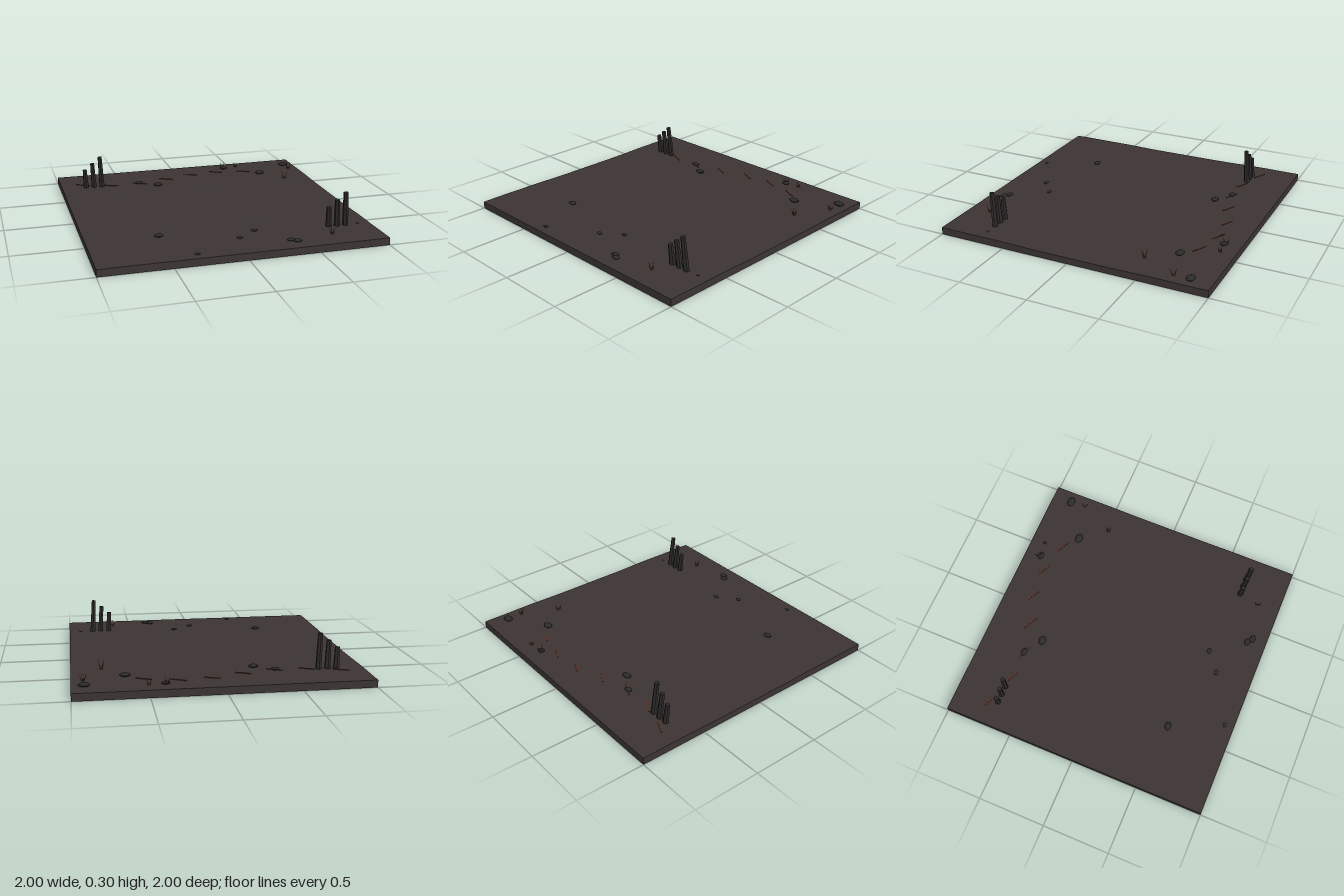
import * as THREE from 'three';

const paint = (name, color, extra = {}) => {
  const m = new THREE.MeshStandardMaterial({ color, ...extra });
  m.name = name;
  return m;
};

export function createModel() {
  const ash = paint('ash ground', 0x3b3433);
  const basalt = paint('basalt', 0x2c2a29, { flatShading: true });
  const stone = paint('dark stone', 0x2b2b29, { flatShading: true });
  const rust = paint('rust crack', 0x5a2a1a);
  const blade = paint('rust grass', 0x7a3a1e, { side: THREE.DoubleSide });
  const dry = paint('dry grass', 0x80583a, { side: THREE.DoubleSide });

  const group = new THREE.Group();
  const add = (name, geo, mat, x, y, z, parent = group) => {
    const m = new THREE.Mesh(geo, mat);
    m.name = name;
    m.position.set(x, y, z);
    parent.add(m);
    return m;
  };

  // Ground height: a flat lane through the middle with gentle swells either side
  const heightAt = (x, z) => {
    const bank = THREE.MathUtils.smoothstep(Math.abs(z), 0.25, 0.6);
    return 0.047 + bank * (0.005 + 0.002 * Math.sin(x * 9 + z * 4) * Math.cos(z * 8));
  };

  // Ground slab
  const slab = new THREE.BoxGeometry(2, 0.047, 2, 32, 1, 32);
  slab.translate(0, 0.0235, 0);
  const p = slab.attributes.position;
  for (let i = 0; i < p.count; i++) {
    if (p.getY(i) > 0.02) p.setY(i, heightAt(p.getX(i), p.getZ(i)));
  }
  slab.computeVertexNormals();
  add('groundSlab', slab, ash, 0, 0, 0);

  // Two clusters of leaning six-sided basalt columns
  for (const [cx, cz] of [[-0.75, -0.676], [0.75, 0.676]]) {
    const cluster = new THREE.Group();
    cluster.name = 'columnCluster';
    group.add(cluster);
    [0.2, 0.25, 0.3].forEach((top, i) => {
      const h = top - 0.035;
      const geo = new THREE.CylinderGeometry(0.017, 0.022, h, 6);
      geo.translate(0, h / 2, 0);
      const col = add('basaltColumn', geo, basalt, cx + (i - 1) * 0.063 + 0.002, 0.035, cz, cluster);
      col.rotation.set(0.08, 0, 0.055);
    });
  }

  // Flattened stones: x, z, radius
  const stones = [
    [0.39, -0.875, 0.031], [0.915, -0.847, 0.042], [0.64, -0.66, 0.04],
    [-0.385, -0.66, 0.031], [-0.25, -0.572, 0.037], [-0.5, 0.55, 0.033],
    [0.02, 0.73, 0.023], [0.16, 0.622, 0.023], [0.337, 0.863, 0.03],
    [0.374, 0.892, 0.031], [-0.33, 0.93, 0.019], [0.91, 0.672, 0.012],
  ];
  const profile = [[0, 0], [0.6, 0], [1, 0.3], [0.85, 0.48], [0.45, 0.64], [0, 0.68]]
    .map(([r, y]) => new THREE.Vector2(r, y));
  const stoneGeo = new THREE.LatheGeometry(profile, 10);
  for (const [x, z, r] of stones) {
    add('flatStone', stoneGeo, stone, x, heightAt(x, z) - 0.002, z).scale.set(r, r, r * 0.72);
  }

  // Winding row of thin glowing cracks
  const crackZ = [-0.735, -0.665, -0.66, -0.715, -0.785, -0.8, -0.75];
  const crackGeo = new THREE.BoxGeometry(0.112, 0.006, 0.009);
  crackZ.forEach((z, i) => {
    const x = -0.83 + i * 0.2255;
    add('groundCrack', crackGeo, rust, x, heightAt(x, z) + 0.001, z).rotation.y = -0.45;
  });

  // Grass tufts of thin upright blades
  const bladeShape = (h, lean) => new THREE.ShapeGeometry(new THREE.Shape([
    new THREE.Vector2(-0.005, 0), new THREE.Vector2(0.005, 0), new THREE.Vector2(lean, h),
  ]));
  const tufts = [[0.38, -0.89], [0.5, -0.89], [0.92, -0.73], [0.79, -0.47], [0.65, 0.83]];
  tufts.forEach(([x, z], t) => {
    const tuft = new THREE.Group();
    tuft.name = 'grassTuft';
    tuft.position.set(x, heightAt(x, z) - 0.002, z);
    group.add(tuft);
    const size = t === 1 ? 0.6 : 1;
    for (let i = 0; i < 4; i++) {
      const geo = bladeShape((0.05 + 0.01 * ((i * 2 + t) % 4)) * size, 0.022 * size);
      const a = i * 1.57 + t * 0.7 + 0.5;
      add('grassBlade', geo, i === 2 ? dry : blade, 0.005 * Math.cos(a), 0, -0.005 * Math.sin(a), tuft)
        .rotation.y = a;
    }
  });

  return group;
}
